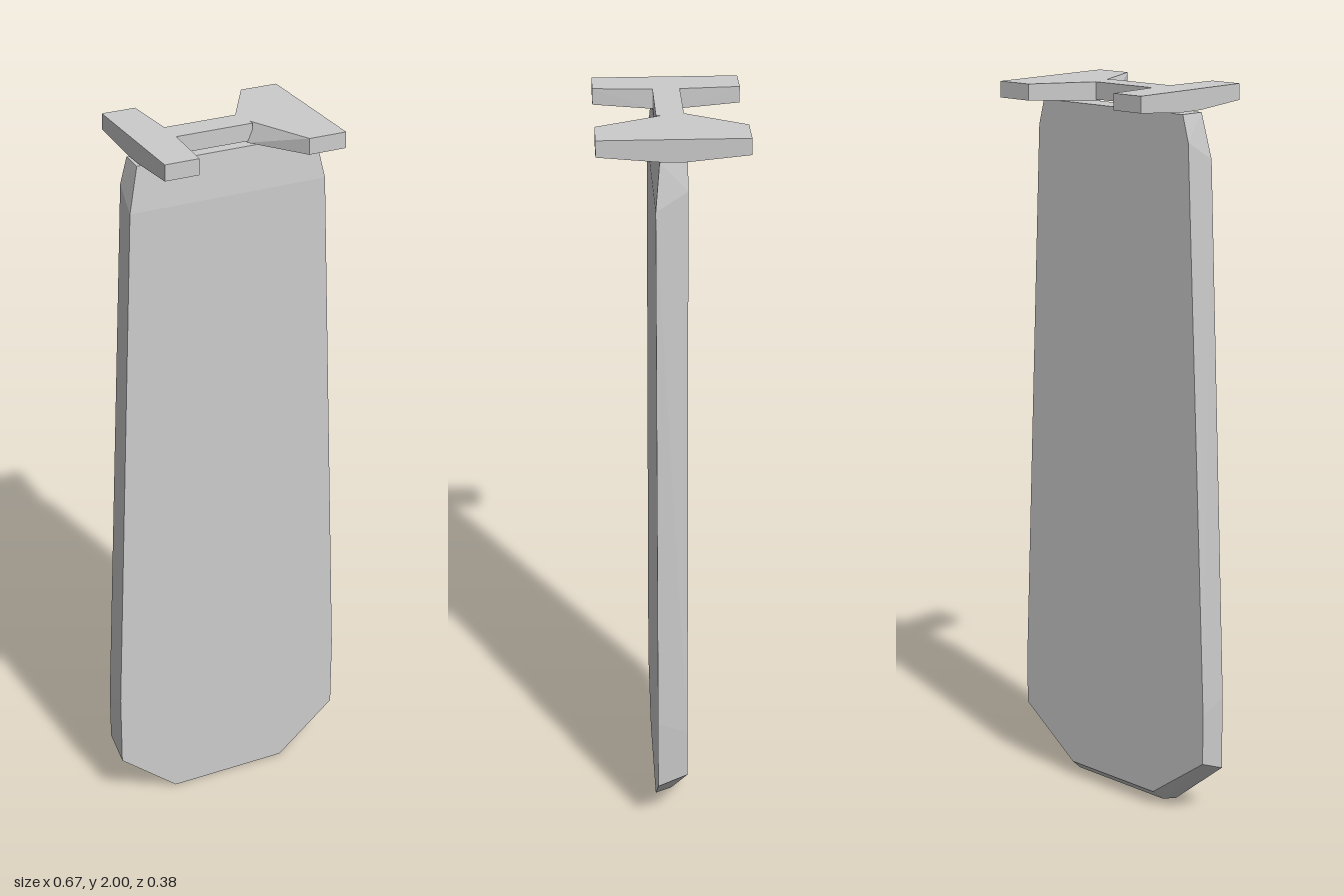
import * as THREE from 'three';
import { ConvexGeometry } from 'three/addons/geometries/ConvexGeometry.js';

const material = new THREE.MeshStandardMaterial({ color: 0xcccccc, flatShading: true });

// Faceted solid spanned by its corner points
function solid(name, points) {
  const geometry = new ConvexGeometry(points.map((p) => new THREE.Vector3(...p)));
  const mesh = new THREE.Mesh(geometry, material);
  mesh.name = name;
  return mesh;
}

// Repeat corners on both sides of x = 0
const mirrorX = (points) => points.flatMap(([x, y, z]) => [[x, y, z], [-x, y, z]]);

export function createModel() {
  const group = new THREE.Group();
  group.name = 'hangingPanel';

  // Long tapered slab with a chamfered lower end
  group.add(solid('panel', mirrorX([
    // front outline
    [0.17, 0, 0.045], [0.337, 0.142, 0.045], [0.337, 0.35, 0.045],
    [0.276, 1.82, 0.045], [0.25, 1.94, 0.034],
    // bevelled lower edge
    [0.16, 0.01, 0],
    // back outline
    [0.155, 0.042, -0.036], [0.336, 0.178, -0.036], [0.336, 0.32, -0.036],
    [0.266, 1.87, -0.036], [0.247, 1.94, -0.036],
  ])));

  // Straight cross plate, its underside sloping down to the middle
  group.add(solid('straightPlate', [
    ...[-0.193, 0.191].flatMap((z) => [
      [-0.245, 2, z], [-0.152, 2, z], [-0.245, 1.957, z], [-0.152, 1.957, z],
    ]),
    ...[-0.036, 0.036].flatMap((z) => [
      [-0.245, 1.945, z], [-0.141, 1.947, z], [-0.142, 2, z],
    ]),
  ]));

  // Flared cross plate narrowing towards the bar
  group.add(solid('flaredPlate', [
    ...[-0.193, 0.191].flatMap((z) => [
      [0.253, 2, z], [0.15, 2, z], [0.253, 1.957, z], [0.15, 1.957, z],
    ]),
    [0.253, 1.941, -0.03], [0.253, 1.941, 0.02],
    [0.056, 2, -0.036], [0.07, 2, 0.02],
    [0.056, 1.95, -0.036], [0.056, 1.95, 0.036],
  ]));

  // Bar joining the two plates
  const bar = new THREE.Mesh(new THREE.BoxGeometry(0.22, 0.046, 0.071), material);
  bar.name = 'connectingBar';
  bar.position.set(-0.04, 1.977, -0.0005);
  group.add(bar);

  return group;
}
